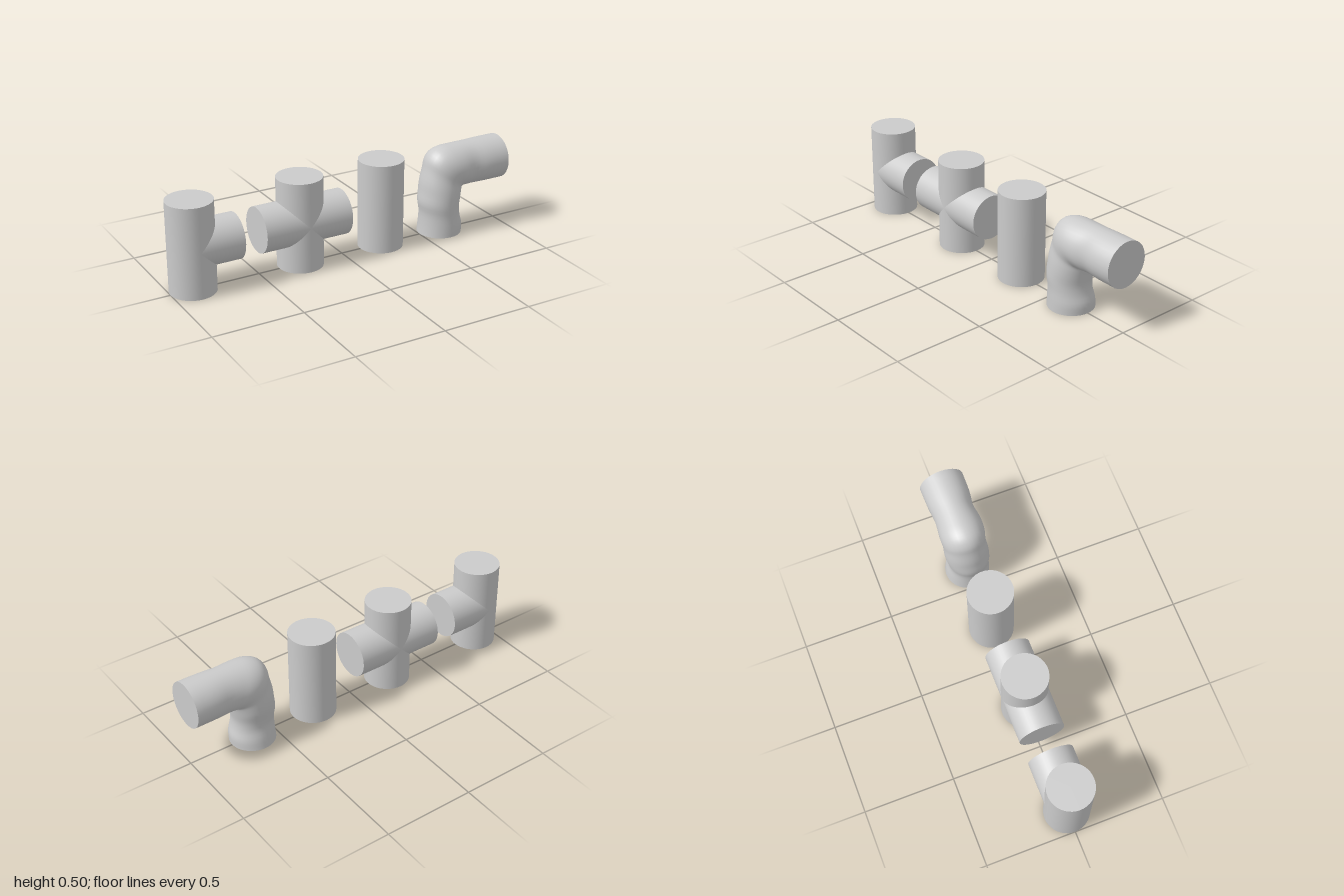
import * as THREE from 'three';

const R = 0.125, H = 0.503, SIDES = 40;
const material = new THREE.MeshStandardMaterial({ color: 0xcccccc });

function add(parent, name, geometry, x = 0, y = 0) {
  const mesh = new THREE.Mesh(geometry, material);
  mesh.name = name;
  mesh.position.set(x, y, 0);
  parent.add(mesh);
  return mesh;
}

// Pipe arm running up from the joint centre; its open foot is cut along y = |x|
// so that arms of equal radius meet in a clean saddle seam.
function addArm(parent, name, length, angle) {
  const arm = new THREE.Group();
  arm.name = name;
  const tube = new THREE.CylinderGeometry(R, R, 2, SIDES, 1, true);
  const p = tube.attributes.position;
  for (let i = 0; i < p.count; i++) {
    p.setY(i, p.getY(i) > 0 ? length : Math.abs(p.getX(i)));
  }
  add(arm, name + 'Wall', tube);
  add(arm, name + 'Cap', new THREE.CircleGeometry(R, SIDES).rotateX(-Math.PI / 2), 0, length);
  arm.rotation.z = angle;
  parent.add(arm);
}

// Dented elbow lofted through rings: [outer x, outer y, inner x, inner y, front depth, back depth]
function addElbow(parent) {
  const rings = [
    [0.503, 0, 0.752, 0, 0.125, 0.125],
    [0.507, 0.06, 0.752, 0.05, 0.125, 0.117],
    [0.508, 0.13, 0.738, 0.10, 0.123, 0.105],
    [0.499, 0.19, 0.732, 0.15, 0.125, 0.110],
    [0.506, 0.25, 0.738, 0.20, 0.124, 0.120],
    [0.513, 0.31, 0.744, 0.235, 0.120, 0.122],
    [0.530, 0.38, 0.748, 0.250, 0.114, 0.121],
    [0.542, 0.435, 0.752, 0.255, 0.117, 0.123],
    [0.575, 0.477, 0.758, 0.255, 0.121, 0.125],
    [0.630, 0.497, 0.768, 0.255, 0.123, 0.124],
    [0.700, 0.501, 0.785, 0.254, 0.120, 0.119],
    [0.790, 0.502, 0.815, 0.253, 0.111, 0.116],
    [0.880, 0.503, 0.880, 0.253, 0.122, 0.123],
    [1, 0.503, 1, 0.253, 0.125, 0.125],
  ];
  const curve = (f) => new THREE.CatmullRomCurve3(rings.map(f), false, 'catmullrom', 0.5);
  const outer = curve((r) => new THREE.Vector3(r[0], r[1], 0));
  const inner = curve((r) => new THREE.Vector3(r[2], r[3], 0));
  const depth = curve((r) => new THREE.Vector3(r[4], r[5], 0));
  const steps = (rings.length - 1) * 3, sides = 32;
  const pos = [], idx = [];
  for (let i = 0; i <= steps; i++) {
    const o = outer.getPoint(i / steps), n = inner.getPoint(i / steps), d = depth.getPoint(i / steps);
    for (let j = 0; j < sides; j++) {
      const a = (j / sides) * Math.PI * 2, k = 0.5 - Math.cos(a) / 2, s = Math.sin(a);
      pos.push(o.x + (n.x - o.x) * k, o.y + (n.y - o.y) * k, s * (s > 0 ? d.x : d.y));
      if (i < steps) {
        const b = i * sides + j, c = i * sides + ((j + 1) % sides);
        idx.push(b, c, b + sides, c, c + sides, b + sides);
      }
    }
  }
  const wall = new THREE.BufferGeometry();
  wall.setAttribute('position', new THREE.Float32BufferAttribute(pos, 3));
  wall.setIndex(idx);
  wall.computeVertexNormals();

  const elbow = new THREE.Group();
  elbow.name = 'elbowPipe';
  add(elbow, 'elbowWall', wall);
  add(elbow, 'elbowBottomCap', new THREE.CircleGeometry(R, sides).rotateX(Math.PI / 2), 0.6275, 0);
  add(elbow, 'elbowEndCap', new THREE.CircleGeometry(R, sides).rotateY(Math.PI / 2), 1, 0.378);
  parent.add(elbow);
}

export function createModel() {
  const model = new THREE.Group();
  model.name = 'pipeFittings';

  // Tee: full upright pipe with one side branch
  const tee = new THREE.Group();
  tee.name = 'teePipe';
  tee.position.set(-0.875, H / 2, 0);
  add(tee, 'teeUpright', new THREE.CylinderGeometry(R, R, H, SIDES));
  addArm(tee, 'teeBranch', 0.248, -Math.PI / 2);
  model.add(tee);

  // Cross: four equal arms
  const cross = new THREE.Group();
  cross.name = 'crossPipe';
  cross.position.set(-0.254, H / 2, 0);
  ['crossTop', 'crossRight', 'crossBottom', 'crossLeft'].forEach((name, i) =>
    addArm(cross, name, H / 2, (i * Math.PI) / 2));
  model.add(cross);

  // Straight pipe
  add(model, 'straightPipe', new THREE.CylinderGeometry(R, R, H, SIDES), 0.242, H / 2);

  addElbow(model);
  return model;
}
